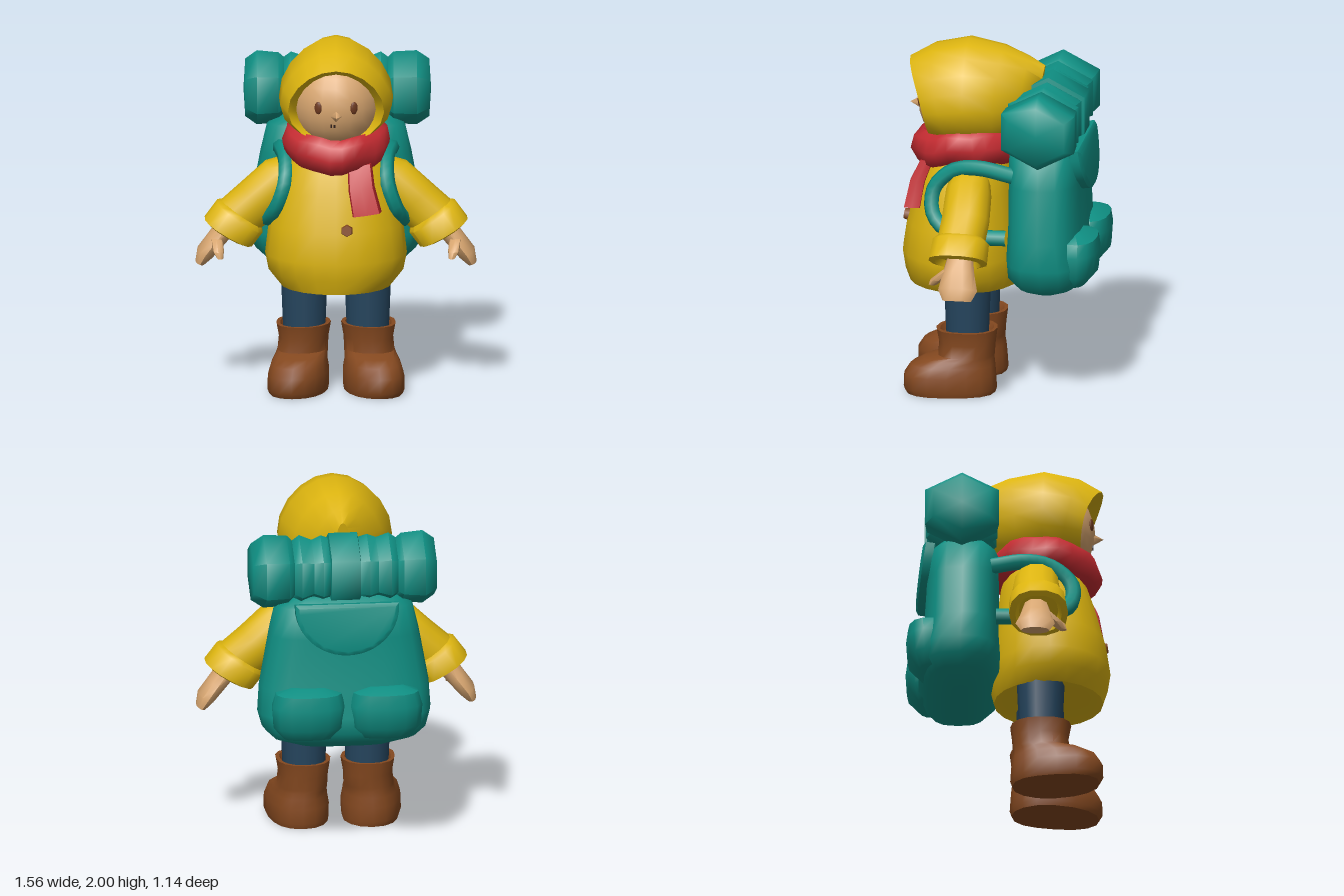
import * as THREE from 'three';
import { toCreasedNormals } from 'three/addons/utils/BufferGeometryUtils.js';

const V = (x, y, z) => new THREE.Vector3(x, y, z);
const Z = V(0, 0, 1);
const pow = (c, e) => Math.sign(c) * Math.abs(c) ** e;

// One cross-section facing direction d: ru along z, rv across, e < 1 makes it squarer
function ring(c, d, ru, rv, n = 14, e = 1) {
  const v = d.clone().normalize().cross(Z);
  return Array.from({ length: n }, (_, k) => {
    const a = (k / n) * Math.PI * 2;
    return c.clone().addScaledVector(Z, ru * pow(Math.cos(a), e)).addScaledVector(v, rv * pow(Math.sin(a), e));
  });
}

// Horizontal section from [y, halfWidth, zBack, zFront, xCentre]
const level = (n, e = 1) => ([y, rx, z0, z1, cx = 0]) =>
  ring(V(cx, y, (z0 + z1) / 2), V(0, 1, 0), (z1 - z0) / 2, rx, n, e);

// Skin a list of sections, closing the ends on request
function loft(rings, capStart = true, capEnd = true, crease = 0.95) {
  const n = rings[0].length, pts = rings.flat(), idx = [];
  for (let i = 0; i < rings.length - 1; i++) for (let k = 0; k < n; k++) {
    const a = i * n + k, b = i * n + (k + 1) % n;
    idx.push(a, b, b + n, a, b + n, a + n);
  }
  const cap = (r, base, flip) => {
    const c = pts.push(r.reduce((s, p) => s.add(p), V(0, 0, 0)).divideScalar(n)) - 1;
    for (let k = 0; k < n; k++) {
      const a = base + k, b = base + (k + 1) % n;
      flip ? idx.push(c, b, a) : idx.push(c, a, b);
    }
  };
  if (capStart) cap(rings[0], 0, true);
  if (capEnd) cap(rings.at(-1), (rings.length - 1) * n, false);
  const g = new THREE.BufferGeometry().setFromPoints(pts);
  g.setIndex(idx);
  return toCreasedNormals(g, crease);
}

export function createModel() {
  const model = new THREE.Group();
  const mat = (name, color, side = THREE.FrontSide) =>
    Object.assign(new THREE.MeshStandardMaterial({ color, side }), { name });
  const yellow = mat('yellow coat', 0xdcb40f, THREE.DoubleSide);
  const teal = mat('teal canvas', 0x0f8f83);
  const red = mat('red wool', 0xc42b31);
  const brown = mat('brown leather', 0x84481f);
  const blue = mat('blue denim', 0x25455e);
  const skin = mat('skin', 0xd8a670);
  const eyeBrown = mat('eye brown', 0x6e3a20);
  const dark = mat('dark mouth', 0x2b1810);
  const add = (name, geo, material, x = 0, y = 0, z = 0) => {
    const m = new THREE.Mesh(geo, material);
    m.name = name;
    m.position.set(x, y, z);
    model.add(m);
    return m;
  };

  // Coat body
  add('coat', loft([
    [0.63, 0.26, -0.02, 0.46], [0.6, 0.31, -0.08, 0.53], [0.68, 0.375, -0.1, 0.555],
    [0.78, 0.395, -0.1, 0.57], [0.95, 0.375, -0.09, 0.545], [1.15, 0.335, -0.06, 0.49],
    [1.3, 0.28, -0.04, 0.44], [1.42, 0.2, 0, 0.38],
  ].map(level(20))), yellow);
  const button = add('button', new THREE.CylinderGeometry(0.03, 0.036, 0.03, 6), brown, 0.06, 0.97, 0.54);
  button.rotation.x = Math.PI / 2 - 0.15;

  // Hood: tilted sections from the inner lip, over the brim, to the pointed back
  const hood = [
    [0.3, 1.82, 0.24, 1.48, 0.21, 0], [0.435, 1.84, 0.36, 1.46, 0.222, 0.03], [0.53, 1.88, 0.4, 1.44, 0.265, 0.035],
    [0.4, 1.955, 0.28, 1.42, 0.308, 0], [0.2, 2, 0.18, 1.42, 0.315, 0], [0, 1.965, 0.05, 1.42, 0.25, 0],
    [-0.14, 1.91, -0.08, 1.48, 0.15, 0], [-0.23, 1.86, -0.18, 1.58, 0.045, 0],
  ].map(([zt, yt, zb, yb, rx, dip]) => Array.from({ length: 18 }, (_, k) => {
    const a = (k / 18) * Math.PI * 2, c = Math.cos(a), s = Math.sin(a);
    return V(rx * s * (1 - 0.15 * c), (yt + yb) / 2 + c * (yt - yb) / 2, (zt + zb) / 2 + c * (zt - zb) / 2 - dip * s * s);
  }));
  add('hood', loft(hood, false, true), yellow);

  // Face
  add('face', new THREE.SphereGeometry(1, 20, 14).scale(0.256, 0.275, 0.265), skin, 0, 1.64, 0.22);
  add('nose', new THREE.ConeGeometry(0.042, 0.07, 4).rotateX(Math.PI / 2), skin, 0, 1.61, 0.497);
  for (const s of [-1, 1]) {
    const eye = add('eye', new THREE.SphereGeometry(1, 10, 6).scale(0.022, 0.036, 0.009), eyeBrown, s * 0.1, 1.655, 0.464);
    eye.rotation.y = s * 0.4;
    add('mouth', new THREE.BoxGeometry(0.009, 0.018, 0.009), dark, s * 0.009 - 0.018, 1.552, 0.47);
  }

  // Scarf: flattened wavy loop and a hanging tail
  const loop = new THREE.TorusGeometry(0.23, 0.07, 8, 26).rotateX(Math.PI / 2).scale(1, 1.5, 1.06);
  const p = loop.attributes.position;
  for (let i = 0; i < p.count; i++) {
    const x = p.getX(i), y = p.getY(i), z = p.getZ(i), a = Math.atan2(z, x);
    const w = 1 + 0.025 * Math.sin(5 * a + y * 25);
    p.setXYZ(i, x * w, y + 0.018 * Math.cos(2 * a) + 0.008 * Math.sin(7 * a), z * w);
  }
  add('scarf', toCreasedNormals(loop, 1), red, 0, 1.405, 0.205).rotation.x = 0.09;
  const down = V(0.15, -1, 0);
  add('scarfTail', loft([[0.13, 1.32, 0.41, 0.04, 0.07], [0.14, 1.2, 0.46, 0.048, 0.075], [0.17, 1.055, 0.485, 0.052, 0.085]]
    .map(([x, y, z, ru, rv]) => ring(V(x, y, z), down, ru, rv, 8, 0.5))), red);

  // Backpack bag, with flap
  add('backpack', loft([
    [0.59, 0.24, -0.33, -0.2], [0.65, 0.4, -0.45, -0.1], [0.71, 0.46, -0.5, -0.045], [0.8, 0.485, -0.5, -0.04],
    [0.95, 0.475, -0.47, -0.05], [1.25, 0.42, -0.46, -0.05], [1.42, 0.38, -0.45, -0.05], [1.48, 0.3, -0.4, -0.1],
  ].map(level(20, 0.65))), teal);
  const half = new THREE.Shape().absellipse(0, 0, 0.27, 0.25, Math.PI, Math.PI * 2);
  half.closePath();
  const flap = add('backpackFlap', toCreasedNormals(new THREE.ExtrudeGeometry(half, {
    depth: 0.05, bevelSize: 0.02, bevelThickness: 0.015, bevelSegments: 1, curveSegments: 12,
  }), 0.9), teal, 0, 1.44, -0.462);
  flap.rotation.x = 0.15;

  // Bedroll: pinched six-sided roll lying across the top
  const roll = [[0, -0.515], [0.165, -0.505], [0.212, -0.44], [0.2, -0.32], [0.175, -0.29], [0.205, -0.25], [0.18, -0.18],
    [0.2, -0.13], [0.185, -0.08], [0.212, -0.075], [0.212, 0.085], [0.185, 0.09], [0.2, 0.13], [0.175, 0.18], [0.205, 0.25],
    [0.175, 0.29], [0.205, 0.32], [0.212, 0.45], [0.165, 0.52], [0, 0.53]].map(([r, y]) => new THREE.Vector2(r, y));
  const rollGeo = new THREE.LatheGeometry(roll, 6, Math.PI / 6).rotateZ(-Math.PI / 2).scale(1, 1, 1.12);
  add('bedroll', toCreasedNormals(rollGeo, 1.1), teal, 0, 1.603, -0.26);

  for (const s of [-1, 1]) {
    // Bag pocket and shoulder strap
    add('backpackPocket', loft([
      [0.68, 0.14, -0.5, -0.36], [0.75, 0.2, -0.562, -0.3], [0.87, 0.208, -0.57, -0.3],
      [0.945, 0.185, -0.56, -0.32], [0.975, 0.1, -0.49, -0.38],
    ].map(r => level(14, 0.8)([...r, s * 0.215]))), teal);
    const path = new THREE.CatmullRomCurve3([
      [0.31, 1.3, -0.1], [0.3, 1.335, 0.1], [0.28, 1.31, 0.24], [0.285, 1.2, 0.35],
      [0.33, 1.06, 0.345], [0.375, 0.97, 0.23], [0.38, 0.96, 0.08], [0.38, 0.96, -0.07],
    ].map(([x, y, z]) => V(s * x, y, z)));
    add('shoulderStrap', new THREE.TubeGeometry(path, 26, 0.045, 7), teal);

    // Sleeve and turned-back cuff
    const limb = (rows, n, e) => rows.map(([x, y, z, ru, rv, dx, dy]) => ring(V(s * x, y, z), V(s * dx, dy, 0), ru, rv, n, e));
    add('sleeve', loft(limb([
      [0.2, 1.24, 0.16, 0.11, 0.1, 0.7, -0.5], [0.3, 1.17, 0.155, 0.13, 0.145, 0.7, -0.6],
      [0.43, 1.065, 0.15, 0.135, 0.135, 0.6, -0.75], [0.55, 0.96, 0.16, 0.135, 0.135, 0.6, -0.8],
    ], 14, 0.9)), yellow);
    add('cuff', loft(limb([
      [0.52, 0.99, 0.16, 0.13, 0.125, 0.55, -0.8], [0.535, 0.967, 0.16, 0.16, 0.155, 0.55, -0.8],
      [0.6, 0.88, 0.165, 0.165, 0.155, 0.5, -0.85], [0.605, 0.87, 0.165, 0.13, 0.125, 0.5, -0.85],
      [0.585, 0.9, 0.165, 0.11, 0.105, 0.5, -0.85],
    ], 14, 0.85)), yellow);

    // Hand and thumb
    add('hand', loft(limb([
      [0.6, 0.92, 0.15, 0.07, 0.06, 0.6, -0.75], [0.67, 0.83, 0.15, 0.09, 0.055, 0.6, -0.75],
      [0.73, 0.755, 0.145, 0.11, 0.05, 0.5, -0.8], [0.757, 0.7, 0.145, 0.08, 0.028, 0.3, -0.9],
    ], 10)), skin);
    add('thumb', loft(limb([
      [0.665, 0.85, 0.2, 0.04, 0.035, 0, -1], [0.655, 0.79, 0.27, 0.04, 0.032, 0, -1],
      [0.645, 0.755, 0.3, 0.022, 0.018, 0, -1],
    ], 7)), skin);

    // Trouser leg
    add('trouserLeg', new THREE.CylinderGeometry(0.133, 0.12, 0.32, 14), blue, s * 0.177, 0.48, 0.18);

    // Boot: one skin from sole to open top, toes turned outward
    const boot = [
      [0, 0.16, 0.02, 0.51, 0.195], [0.03, 0.168, 0.01, 0.528, 0.197], [0.11, 0.168, 0.015, 0.525, 0.195],
      [0.165, 0.155, 0.02, 0.49, 0.193], [0.2, 0.145, 0.025, 0.42, 0.188], [0.22, 0.14, 0.025, 0.34, 0.185],
      [0.29, 0.138, 0.02, 0.335, 0.18],
      [0.37, 0.152, 0.01, 0.35, 0.18], [0.37, 0.13, 0.03, 0.33, 0.18], [0.34, 0.12, 0.05, 0.31, 0.18],
    ].map(([y, rx, z0, z1, cx]) => level(16, 0.9)([y, rx, z0, z1, s * cx]));
    boot.flat().forEach(q => { q.x += s * 0.16 * Math.max(0, q.z - 0.2); });
    add('boot', loft(boot), brown);
  }
  return model;
}
